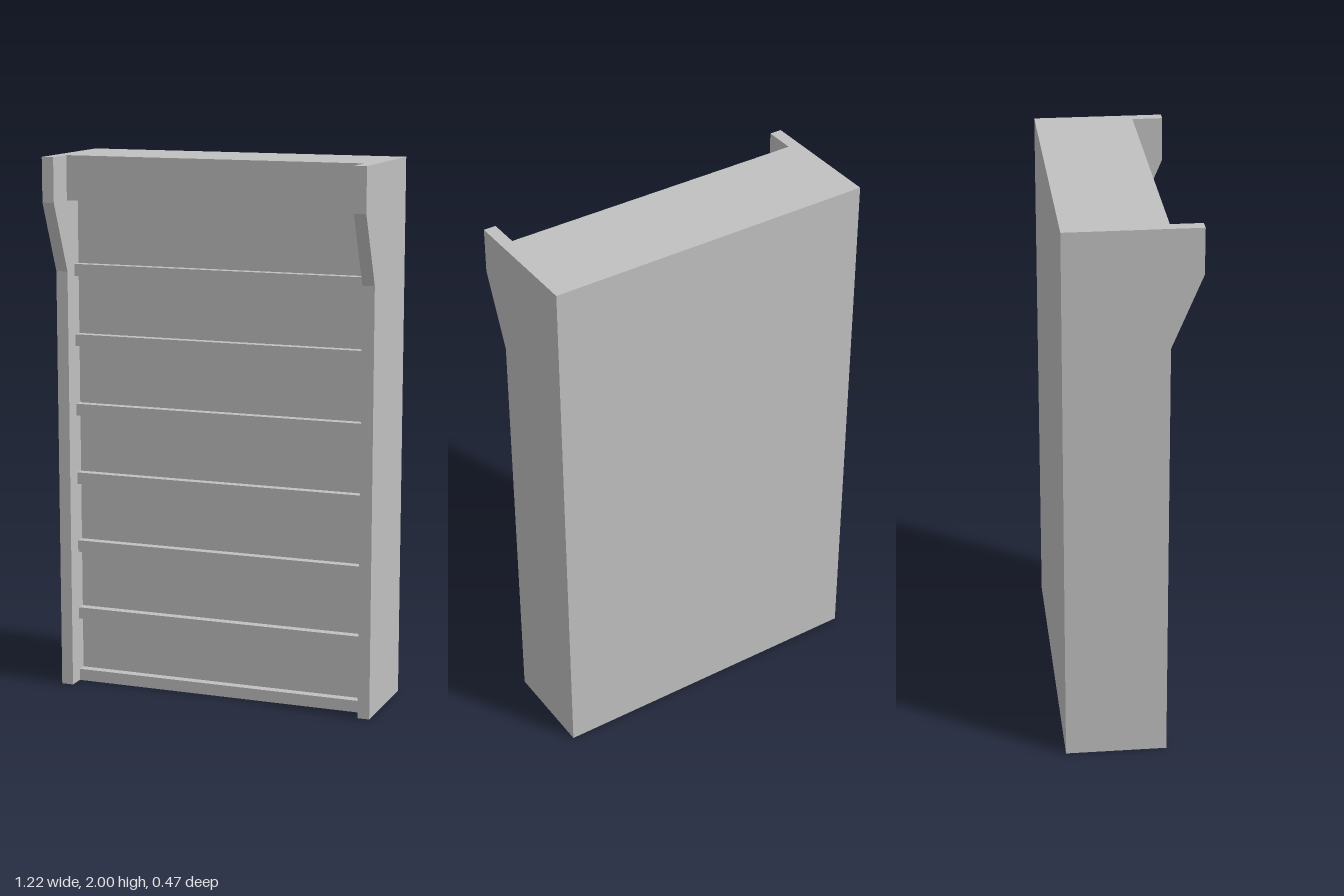
import * as THREE from 'three';

const HALF_W = 0.61, INNER = 0.565;          // outer and inner half widths
const BACK = -0.237, WALL = 0.03;            // rear face and recessed front wall
const SHELF_Z = 0.065, HEAD_Z = 0.125;       // shelf lip and header fronts

export function createModel() {
  const group = new THREE.Group();
  const grey = new THREE.MeshStandardMaterial({ color: 0xc0c0c0 });
  grey.name = 'plain grey';

  const add = (name, geometry) => {
    const mesh = new THREE.Mesh(geometry, grey);
    mesh.name = name;
    group.add(mesh);
    return mesh;
  };

  // Block spanning the space between the side panels
  const span = (name, y0, y1, z0, z1) => {
    const mesh = add(name, new THREE.BoxGeometry(INNER * 2, y1 - y0, z1 - z0));
    mesh.position.set(0, (y0 + y1) / 2, (z0 + z1) / 2);
  };

  // Side panels: upright profile that steps forward at the top (shape x = -z)
  const profile = new THREE.Shape([
    [-BACK, 0], [-BACK, 2], [-0.237, 2], [-0.237, 1.836], [-0.128, 1.576], [-0.128, 0],
  ].map(([x, y]) => new THREE.Vector2(x, y)));
  const panel = new THREE.ExtrudeGeometry(profile, { depth: HALF_W - INNER, bevelEnabled: false });
  panel.rotateY(Math.PI / 2);
  add('leftSidePanel', panel).position.x = INNER;
  add('rightSidePanel', panel).position.x = -HALF_W;

  // Body and header
  span('body', 0, 2, BACK, WALL);
  span('header', 1.836, 2, WALL, HEAD_Z);

  // Evenly spaced shelf lips, the lowest resting on the floor
  for (let i = 0; i < 7; i++) {
    const y = i === 0 ? 0 : 0.243 + (i - 1) * 0.262;
    span('shelf' + (i + 1), y, y + 0.044, WALL, SHELF_Z);
  }
  return group;
}
